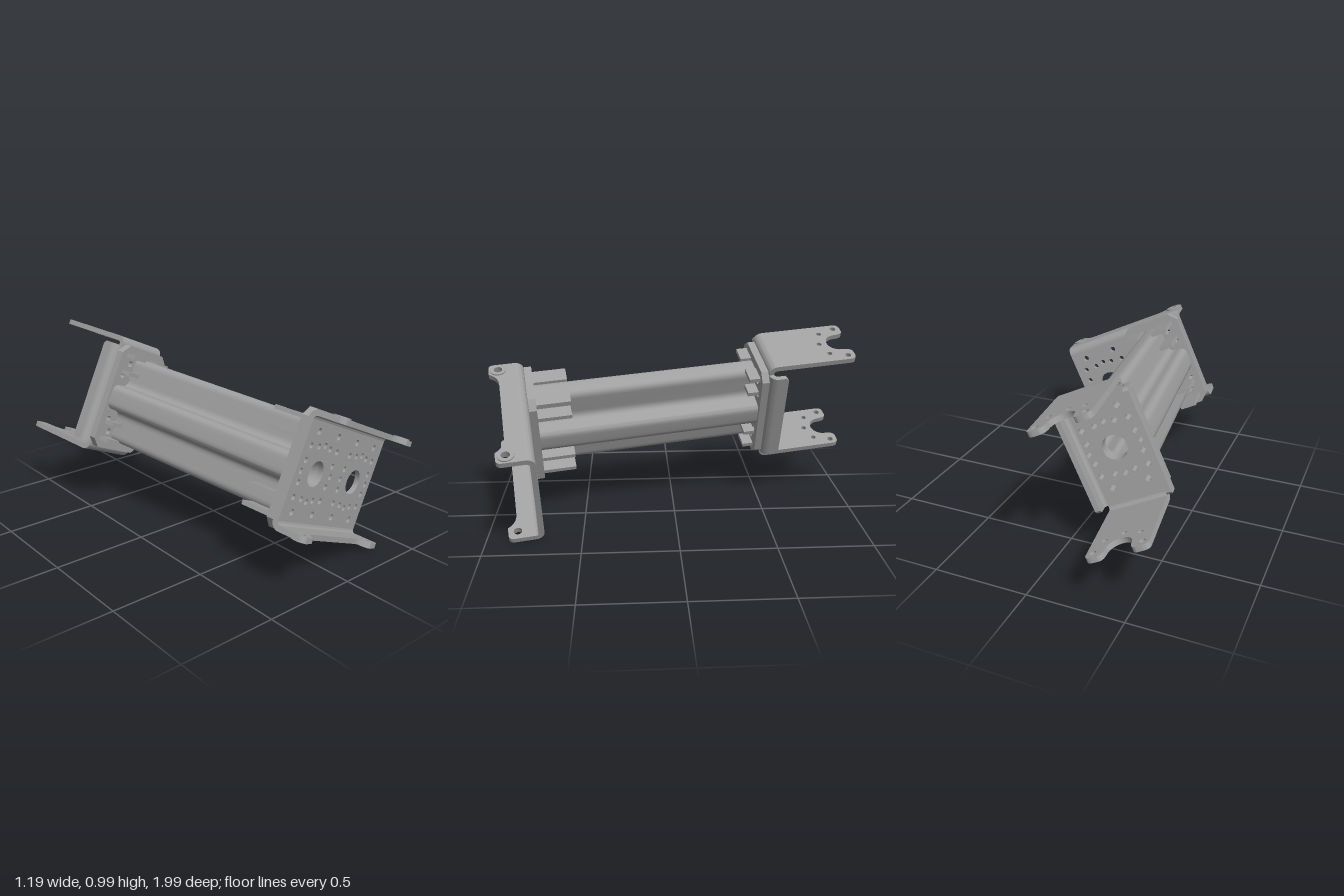
import * as THREE from 'three';
import { toCreasedNormals } from 'three/addons/utils/BufferGeometryUtils.js';

const T = 0.028; // sheet thickness
const R = 0.045; // outer bend radius

// Closed outline whose corners are rounded by radius r
function rounded(points, r, Type = THREE.Shape) {
  const path = new Type();
  const p = points.map(([x, y]) => new THREE.Vector2(x, y));
  p.forEach((c, i) => {
    const prev = p[(i + p.length - 1) % p.length], next = p[(i + 1) % p.length];
    const toward = (q) => c.clone().add(q.clone().sub(c).setLength(Math.min(r, q.distanceTo(c) * 0.49)));
    const a = toward(prev), b = toward(next);
    if (i === 0) path.moveTo(a.x, a.y); else path.lineTo(a.x, a.y);
    path.quadraticCurveTo(c.x, c.y, b.x, b.y);
  });
  path.closePath();
  return path;
}

const polygon = (points) => new THREE.Shape(points.map(([x, y]) => new THREE.Vector2(x, y)));
const rect = (w, h) => polygon([[-w, -h], [w, -h], [w, h], [-w, h]]);

function drill(shape, x, y, r) {
  const hole = new THREE.Path();
  hole.absarc(x, y, r, 0, Math.PI * 2, true);
  shape.holes.push(hole);
}

// Bore, bolt ring and four corner bolt holes
function drillPattern(shape, x) {
  drill(shape, x, 0, 0.065);
  for (let i = 0; i < 16; i++) {
    const a = (i * Math.PI) / 8, d = i % 4 === 2 ? 0.177 : 0.14;
    drill(shape, x + Math.cos(a) * d, Math.sin(a) * d, 0.015);
  }
  for (const sx of [-1, 1]) for (const sy of [-1, 1]) drill(shape, x + sx * 0.095, sy * 0.197, 0.017);
}

function extrude(shape, depth) {
  const g = new THREE.ExtrudeGeometry(shape, { depth, bevelEnabled: false, curveSegments: 8 });
  return toCreasedNormals(g, 0.6);
}

export function createModel() {
  const metal = new THREE.MeshStandardMaterial({ color: 0xa0a0a0 });
  metal.name = 'grey metal';
  const add = (parent, name, geometry) => {
    const mesh = new THREE.Mesh(geometry, metal);
    mesh.name = name;
    parent.add(mesh);
    return mesh;
  };

  // A bent-up side of a bracket: quarter bend plus flat sheet, turned about the base normal
  function wing(parent, name, dist, halfWidth, shape, turn) {
    const g = new THREE.Group();
    g.name = name;
    g.rotation.z = turn;
    const arc = new THREE.Shape();
    arc.absarc(0, 0, R, 0, Math.PI / 2, false);
    arc.absarc(0, 0, R - T, Math.PI / 2, 0, true);
    arc.closePath();
    const bend = extrude(arc, halfWidth * 2);
    bend.rotateY(Math.PI / 2).translate(-halfWidth, dist - R, R);
    add(g, name + 'Bend', bend);
    const sheet = extrude(shape, T);
    sheet.rotateX(Math.PI / 2).translate(0, dist, 0);
    add(g, name + 'Sheet', sheet);
    parent.add(g);
    return g;
  }

  const model = new THREE.Group();
  model.name = 'linkArm';

  // Tilted frame: x across, y up, z along the beam
  const arm = new THREE.Group();
  arm.name = 'arm';
  const w = new THREE.Vector3(0.145, -0.066, 0.987).normalize();
  const v = new THREE.Vector3(0.42, 0.91, 0);
  v.addScaledVector(w, -v.dot(w)).normalize();
  const u = new THREE.Vector3().crossVectors(v, w);
  arm.quaternion.setFromRotationMatrix(new THREE.Matrix4().makeBasis(u, v, w));
  arm.position.set(-0.053, 0.522, 0.813);
  model.add(arm);

  // Hollow cross-shaped beam
  const cross = (k) => {
    const a = 0.062 - k, b = 0.07 - k, x = 0.163 - k, y = 0.242 - k;
    return [[-a, -y], [a, -y], [a, -b], [x, -b], [x, b], [a, b], [a, y], [-a, y], [-a, b], [-x, b], [-x, -b], [-a, -b]];
  };
  const section = rounded(cross(0), 0.045);
  section.holes.push(rounded(cross(0.018), 0.03, THREE.Path));
  add(arm, 'beam', extrude(section, 1.207).translate(0, 0, -1.275));

  // Chamfered end plates and the fins beside their bolts
  const ends = [
    { name: 'front', z: -0.068, fin: 0.18, finZ: -0.248 },
    { name: 'back', z: -1.315, fin: 0.06, finZ: -1.275 },
  ];
  for (const e of ends) {
    const X = 0.18, Y = 0.293, c = 0.045;
    const plate = polygon([[-X + c, -Y], [X - c, -Y], [X, -Y + c], [X, Y - c], [X - c, Y], [-X + c, Y], [-X, Y - c], [-X, -Y + c]]);
    drillPattern(plate, 0);
    add(arm, e.name + 'EndPlate', extrude(plate, 0.04).translate(0, 0, e.z));
    for (const sx of [-1, 1]) for (const sy of [-1, 1]) for (const y of [0.145, 0.24]) {
      const fin = new THREE.BoxGeometry(0.095, 0.022, e.fin);
      add(arm, e.name + 'Fin', fin.translate(sx * 0.0925, sy * y, e.finZ + e.fin / 2));
    }
  }

  // Wide front bracket
  const front = new THREE.Group();
  front.name = 'frontBracket';
  front.position.set(0.193, 0, -T);
  arm.add(front);
  const FW = 0.378, FH = 0.29;
  const frontBase = rect(FW, FH - R);
  drillPattern(frontBase, -0.193);
  drillPattern(frontBase, 0.193);
  add(front, 'frontBase', extrude(frontBase, T));
  for (const turn of [0, Math.PI]) {
    const flange = rounded([[-FW, R], [FW, R], [FW, 0.185], [0.275, 0.185], [0.235, 0.135], [-0.235, 0.135], [-0.275, 0.185], [-FW, 0.185]], 0.03);
    // square the corners where the sheet meets the bend
    flange.curves.length = 0;
    flange.moveTo(-FW, R).lineTo(FW, R).lineTo(FW, 0.155);
    flange.quadraticCurveTo(FW, 0.185, FW - 0.03, 0.185).lineTo(0.3, 0.185);
    flange.quadraticCurveTo(0.27, 0.135, 0.21, 0.135).lineTo(-0.21, 0.135);
    flange.quadraticCurveTo(-0.27, 0.135, -0.3, 0.185).lineTo(-FW + 0.03, 0.185);
    flange.quadraticCurveTo(-FW, 0.185, -FW, 0.155).lineTo(-FW, R);
    for (const s of [-1, 1]) drill(flange, s * 0.328, 0.135, 0.022);
    const g = wing(front, 'frontFlange', FH, FW, flange, turn);
    for (const s of [-1, 1]) {
      const ring = new THREE.Shape();
      ring.absarc(s * 0.328, 0.135, 0.042, 0, Math.PI * 2, false);
      drill(ring, s * 0.328, 0.135, 0.022);
      add(g, 'holeRim', extrude(ring, 0.006).rotateX(Math.PI / 2).translate(0, FH + 0.006, 0));
    }
  }

  // Back bracket with long forked flanges and short side lips
  const back = new THREE.Group();
  back.name = 'backBracket';
  back.position.z = -1.315;
  back.rotation.y = Math.PI;
  arm.add(back);
  const BW = 0.157, BH = 0.33, L = 0.497;
  const backBase = rect(BW, BH - R);
  drillPattern(backBase, 0);
  add(back, 'backBase', extrude(backBase, T));
  for (const turn of [0, Math.PI]) {
    const fork = new THREE.Shape();
    fork.moveTo(-BW, R).lineTo(BW, R).lineTo(BW, L - 0.035);
    fork.quadraticCurveTo(BW, L, BW - 0.035, L).lineTo(0.095, L);
    fork.quadraticCurveTo(0.068, L, 0.066, L - 0.055);
    fork.absarc(0, L - 0.055, 0.066, 0, Math.PI, true);
    fork.quadraticCurveTo(-0.068, L, -0.095, L).lineTo(-BW + 0.035, L);
    fork.quadraticCurveTo(-BW, L, -BW, L - 0.035).lineTo(-BW, R);
    for (const s of [-1, 1]) {
      drill(fork, s * 0.122, L - 0.04, 0.016);
      drill(fork, s * 0.09, L - 0.135, 0.014);
    }
    drill(fork, 0, L - 0.165, 0.014);
    wing(back, 'forkFlange', BH, BW, fork, turn);
    const lip = polygon([[-0.28, R], [0.28, R], [0.28, 0.085], [0.265, 0.1], [-0.265, 0.1], [-0.28, 0.085]]);
    wing(back, 'sideLip', BW + R, 0.28, lip, turn + Math.PI / 2);
  }

  return model;
}
